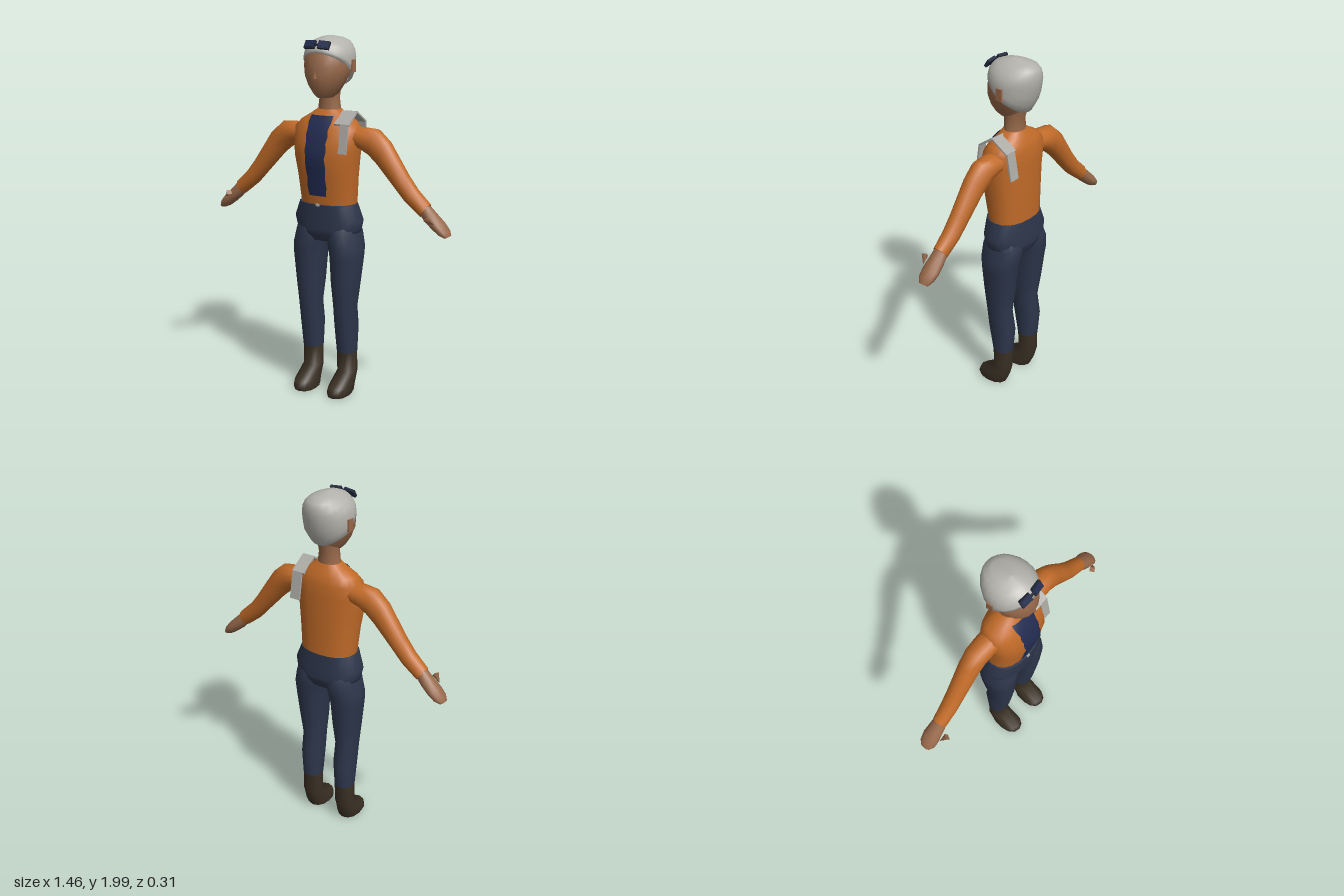
import * as THREE from 'three';

const mat = (name, color, side = THREE.FrontSide) => {
  const m = new THREE.MeshStandardMaterial({ color, side });
  m.name = name;
  return m;
};

// Skin a list of closed rings; each end may be closed to its centre
function skin(rings, capStart = true, capEnd = true) {
  const n = rings[0].length;
  const collapse = (ring) => {
    const c = ring.reduce((s, p) => s.add(p), new THREE.Vector3()).divideScalar(n);
    return ring.map(() => c.clone());
  };
  const rows = [...rings];
  if (capStart) rows.unshift(collapse(rings[0]), rings[0]);
  if (capEnd) rows.push(rings[rings.length - 1], collapse(rings[rings.length - 1]));
  const index = [];
  for (let r = 0; r < rows.length - 1; r++) {
    if (rows[r] === rows[r + 1]) continue; // sharp edge at a cap
    for (let i = 0; i < n; i++) {
      const j = (i + 1) % n, a = r * n + i, b = r * n + j;
      index.push(a, b, b + n, a, b + n, a + n);
    }
  }
  const g = new THREE.BufferGeometry().setFromPoints(rows.flat());
  g.setIndex(index);
  g.computeVertexNormals();
  return g;
}

const pow = (v, p) => Math.sign(v) * Math.abs(v) ** p;

// Level ring: [y, half width, front z, back z, tilt], going front to +x
function ring([y, hw, zf, zb, tilt = 0], cx = 0, n = 16, p = 1) {
  return Array.from({ length: n }, (_, i) => {
    const a = (i / n) * Math.PI * 2, c = pow(Math.cos(a), p), s = pow(Math.sin(a), p);
    return new THREE.Vector3(cx + hw * s, y + tilt * c, (zf + zb) / 2 + ((zf - zb) / 2) * c);
  });
}

// Linear lookup in a table sorted by its first column
function sample(table, y) {
  let k = 0;
  while (k < table.length - 2 && y > table[k + 1][0]) k++;
  const a = table[k], b = table[k + 1];
  const t = THREE.MathUtils.clamp((y - a[0]) / (b[0] - a[0]), 0, 1);
  return a.map((v, i) => v + (b[i] - v) * t);
}

const TORSO = [
  [1.09, 0.16, 0.105, -0.113], [1.25, 0.172, 0.13, -0.115], [1.36, 0.187, 0.148, -0.112],
  [1.44, 0.196, 0.135, -0.112], [1.51, 0.195, 0.113, -0.108], [1.55, 0.16, 0.09, -0.095],
  [1.585, 0.1, 0.066, -0.075], [1.61, 0.065, 0.05, -0.06],
];
const HEAD = [
  [1.675, 0.042, 0.095, -0.05], [1.695, 0.062, 0.115, -0.06], [1.74, 0.092, 0.136, -0.08],
  [1.79, 0.116, 0.146, -0.11], [1.84, 0.129, 0.14, -0.13], [1.9, 0.129, 0.13, -0.13], [1.95, 0.1, 0.1, -0.11],
];
const HAIR = [
  [1.72, 0.1, 0.12, -0.095], [1.8, 0.136, 0.135, -0.138], [1.9, 0.138, 0.138, -0.157],
  [1.94, 0.122, 0.13, -0.154], [1.97, 0.092, 0.104, -0.143], [1.99, 0.05, 0.055, -0.095], [2, 0, 0, 0],
];
const PELVIS = [
  [0.895, 0.13, 0.09, -0.1], [0.935, 0.183, 0.113, -0.122], [0.96, 0.188, 0.115, -0.125],
  [1.01, 0.2, 0.117, -0.122], [1.1, 0.165, 0.12, -0.115],
];
// y, inner x, outer x, front z, back z
const LEG = [
  [0.25, 0.055, 0.165, 0.045, -0.07], [0.4, 0.05, 0.17, 0.073, -0.086], [0.52, 0.05, 0.172, 0.087, -0.065],
  [0.65, 0.037, 0.186, 0.1, -0.085], [0.8, 0.028, 0.202, 0.108, -0.102], [0.86, 0.017, 0.204, 0.112, -0.114],
  [0.94, 0.005, 0.185, 0.112, -0.125], [1.0, 0.01, 0.17, 0.09, -0.1],
];
const BOOT = [
  [0.015, 0.05, 0.165, 0.15, -0.025], [0.035, 0.046, 0.174, 0.157, -0.035], [0.068, 0.05, 0.172, 0.145, -0.05],
  [0.135, 0.055, 0.168, 0.036, -0.064], [0.255, 0.056, 0.164, 0.044, -0.069],
];
// upper x, y, lower x, y, front z, back z
const SLEEVE = [
  [0.14, 1.525, 0.14, 1.42, 0.06, -0.07], [0.22, 1.525, 0.2, 1.405, 0.06, -0.072], [0.295, 1.52, 0.25, 1.375, 0.055, -0.072],
  [0.365, 1.46, 0.3, 1.33, 0.05, -0.066], [0.48, 1.29, 0.4, 1.225, 0.045, -0.056], [0.535, 1.22, 0.47, 1.15, 0.043, -0.052],
  [0.61, 1.15, 0.56, 1.08, 0.038, -0.045],
];
const HAND = [
  [0.6, 1.15, 0.56, 1.09, 0.035, -0.042], [0.64, 1.11, 0.59, 1.055, 0.04, -0.048],
  [0.69, 1.062, 0.635, 1.02, 0.045, -0.055], [0.72, 1.025, 0.67, 0.995, 0.042, -0.05], [0.73, 0.998, 0.703, 0.982, 0.025, -0.033],
];

// Arm cross-sections, s = +1 left, -1 right
function armRings(table, s, n = 12) {
  return table.map(([ux, uy, lx, ly, zf, zb]) => Array.from({ length: n }, (_, i) => {
    const a = (s * i / n) * Math.PI * 2, c = Math.cos(a) / 2;
    return new THREE.Vector3(s * ((ux + lx) / 2 + (ux - lx) * c), (uy + ly) / 2 + (uy - ly) * c,
      (zf + zb) / 2 + ((zf - zb) / 2) * Math.sin(a));
  }));
}
const limbRings = (table, s) => table.map(([y, xi, xo, zf, zb]) =>
  ring([y, (xo - xi) / 2, zf, zb], s * (xi + xo) / 2, 12, 0.88));

// Hair cap whose lower edge slopes from forehead to nape
function hairGeometry() {
  const n = 24, rows = 9, rings = [];
  for (let r = -1; r <= rows; r++) {
    const t = Math.sin((Math.max(r, 0) / rows) * Math.PI / 2);
    rings.push(Array.from({ length: n }, (_, i) => {
      const a = (i / n) * Math.PI * 2, line = 1.82 + 0.095 * Math.cos(a);
      const p = ring(sample(HAIR, line + (2 - line) * t), 0, n)[i];
      if (r < 0) { p.x *= 0.85; p.z *= 0.85; }
      return p;
    }));
  }
  return skin(rings, false, false);
}

// Thin front panel following the chest
function panelGeometry() {
  const ys = [1.15, 1.2, 1.25, 1.305, 1.36, 1.4, 1.44, 1.475, 1.51, 1.55, 1.58], cols = 8;
  const g = new THREE.PlaneGeometry(1, 1, cols, ys.length - 1), pos = g.attributes.position;
  for (let k = 0; k < pos.count; k++) {
    const row = Math.floor(k / (cols + 1)), u = (k % (cols + 1)) / cols * 2 - 1;
    const y = ys[ys.length - 1 - row], [, hw, zf, zb] = sample(TORSO, y);
    const x = u * (0.055 + 0.03 * (y - 1.15) + (row % 2 ? 0.003 : -0.003) * (row > 0)) - 0.002;
    const z = (zf + zb) / 2 + (zf - zb) / 2 * (1 - (Math.abs(x) / hw) ** 2.3) ** 0.435;
    pos.setXYZ(k, x, y, z + 0.006);
  }
  g.computeVertexNormals();
  return g;
}

// Flat slab between two points [y, z] over a span of x
function slab(y0, z0, y1, z1, x0, x1) {
  const g = new THREE.BoxGeometry(x1 - x0, Math.hypot(y1 - y0, z1 - z0), 0.01);
  g.rotateX(Math.atan2(z1 - z0, y1 - y0));
  return g.translate((x0 + x1) / 2, (y0 + y1) / 2, (z0 + z1) / 2);
}

export function createModel() {
  const model = new THREE.Group();
  model.name = 'figure';
  const M = {
    skin: mat('skin', 0x98694a), hair: mat('hair grey', 0xb4b2ac, THREE.DoubleSide), shirt: mat('shirt orange', 0xc06a28),
    pants: mat('trouser blue', 0x2d364b), boots: mat('boot brown', 0x3a3024),
    navy: mat('navy', 0x222c50, THREE.DoubleSide), strap: mat('strap grey', 0xacaaa5), lens: mat('lens dark', 0x232a3c),
  };
  const add = (name, geo, material) => {
    const m = new THREE.Mesh(geo, material);
    m.name = name;
    model.add(m);
    return m;
  };

  // Body
  add('torso', skin(TORSO.map((r) => ring(r, 0, 20, 0.87))), M.shirt);
  add('frontPanel', panelGeometry(), M.navy);
  add('hips', skin(PELVIS.map((r) => ring(r, 0, 20, 0.85))), M.pants);
  add('buckle', new THREE.BoxGeometry(0.02, 0.012, 0.01).translate(0, 1.1, 0.12), M.strap);

  // Head
  add('neck', skin([[1.57, 0.068, 0.05, -0.062], [1.62, 0.063, 0.048, -0.06], [1.67, 0.055, 0.05, -0.062], [1.74, 0.06, 0.06, -0.08]]
    .map((r) => ring(r))), M.skin);
  add('head', skin(HEAD.map((r) => ring(r, 0, 20))), M.skin);
  add('nose', new THREE.ConeGeometry(0.012, 0.035, 4).translate(0, 1.8, 0.145), M.skin);
  add('hair', hairGeometry(), M.hair);

  // Goggles worn on the forehead
  for (const s of [1, -1]) {
    const lens = add(s > 0 ? 'leftLens' : 'rightLens', new THREE.BoxGeometry(0.064, 0.044, 0.016), M.lens);
    lens.position.set(s * 0.042, 1.956, 0.122);
    lens.rotation.set(-0.6, s * 0.12, 0);
    const glass = add('lensGlass', new THREE.BoxGeometry(0.052, 0.032, 0.004), M.navy);
    glass.position.set(s * 0.042, 1.961, 0.129);
    glass.rotation.copy(lens.rotation);
  }
  const bridge = add('goggleBridge', new THREE.BoxGeometry(0.03, 0.012, 0.012), M.lens);
  bridge.position.set(0, 1.957, 0.127);

  // Paired parts
  for (const s of [1, -1]) {
    const side = s > 0 ? 'left' : 'right';
    add(side + 'Ear', new THREE.BoxGeometry(0.022, 0.066, 0.038).translate(s * 0.132, 1.842, -0.018), M.skin);
    add(side + 'Sleeve', skin(armRings(SLEEVE, s)), M.shirt);
    add(side + 'Hand', skin(armRings(HAND, s)), M.skin);
    const thumb = add(side + 'Thumb', new THREE.ConeGeometry(0.02, 0.055, 4), M.skin);
    thumb.position.set(s * 0.64, 1.075, 0.062);
    thumb.rotation.set(0.6, 0, s * 0.75 + Math.PI);
    add(side + 'Leg', skin(limbRings(LEG, s)), M.pants);
    add(side + 'Boot', skin(limbRings(BOOT, s)), M.boots);
  }

  // Shoulder strap over the left shoulder
  add('strapTopFront', slab(1.54, 0.092, 1.602, 0, 0.085, 0.175), M.strap);
  add('strapTopBack', slab(1.54, -0.097, 1.602, 0, 0.1, 0.175), M.strap);
  add('strapFront', slab(1.39, 0.115, 1.545, 0.09, 0.123, 0.172), M.strap);
  add('strapBack', slab(1.395, -0.122, 1.545, -0.096, 0.112, 0.172), M.strap);
  return model;
}
